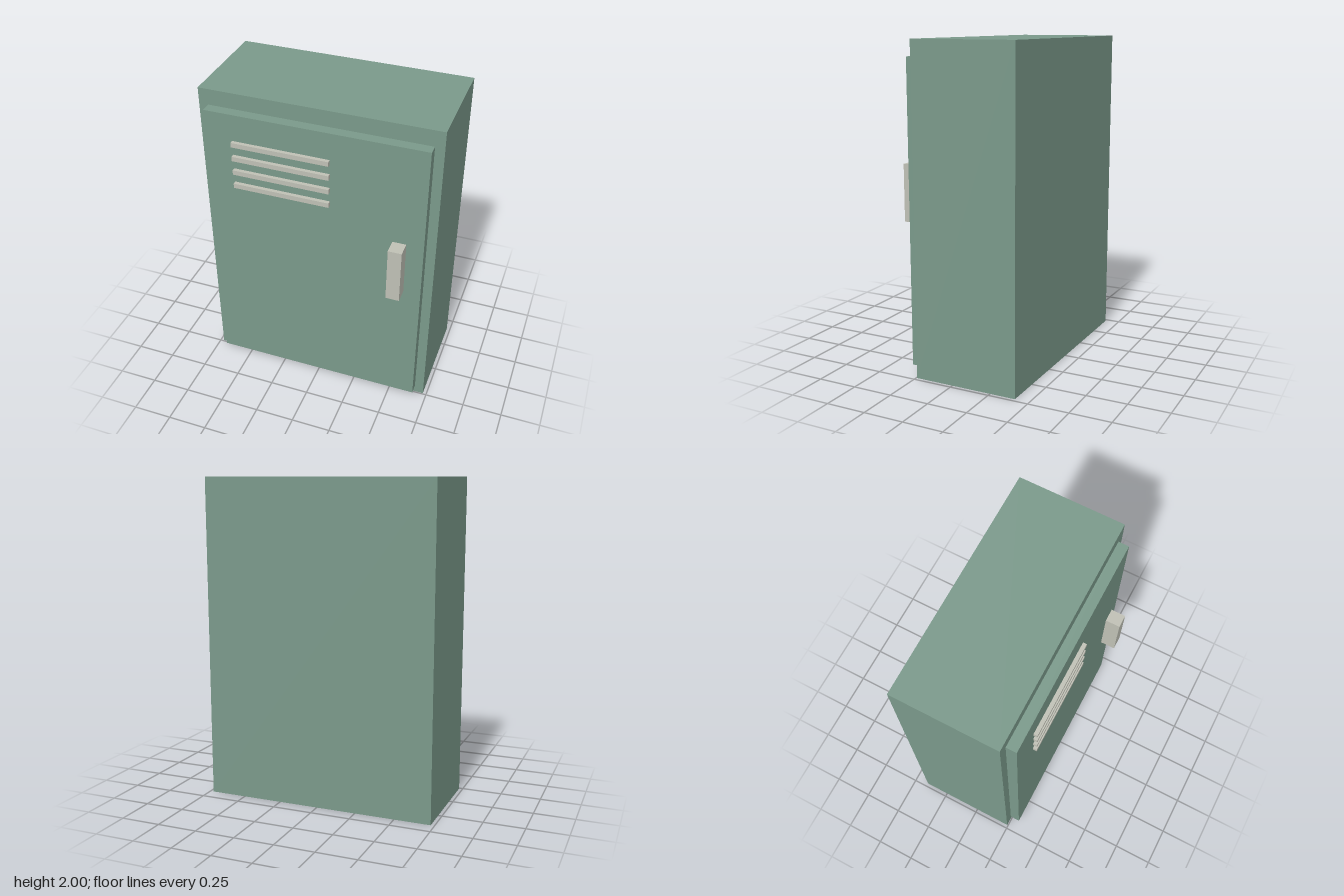
import * as THREE from 'three';

export function createModel() {
  const group = new THREE.Group();
  group.name = 'locker';

  const green = new THREE.MeshStandardMaterial({ color: 0x7a998a });
  green.name = 'sage green';
  const grey = new THREE.MeshStandardMaterial({ color: 0xbfc0b5 });
  grey.name = 'warm grey';

  // Box given by its extents along each axis
  function box(name, material, [x0, x1], [y0, y1], [z0, z1]) {
    const mesh = new THREE.Mesh(new THREE.BoxGeometry(x1 - x0, y1 - y0, z1 - z0), material);
    mesh.position.set((x0 + x1) / 2, (y0 + y1) / 2, (z0 + z1) / 2);
    mesh.name = name;
    group.add(mesh);
  }

  // Cabinet and the raised door on its front
  box('cabinet', green, [-0.727, 0.727], [0, 2], [-0.41, 0.243]);
  box('door', green, [-0.67, 0.67], [0.053, 1.9], [0.243, 0.308]);

  // Upright handle, standing just clear of the door
  box('handle', grey, [0.484, 0.567], [0.911, 1.264], [0.317, 0.41]);

  // Four vent slats
  for (let i = 0; i < 4; i++) {
    const y = 1.72 - i * 0.0935;
    box(`ventSlat${i + 1}`, grey, [-0.497, 0.1], [y - 0.015, y + 0.015], [0.316, 0.34]);
  }

  return group;
}
